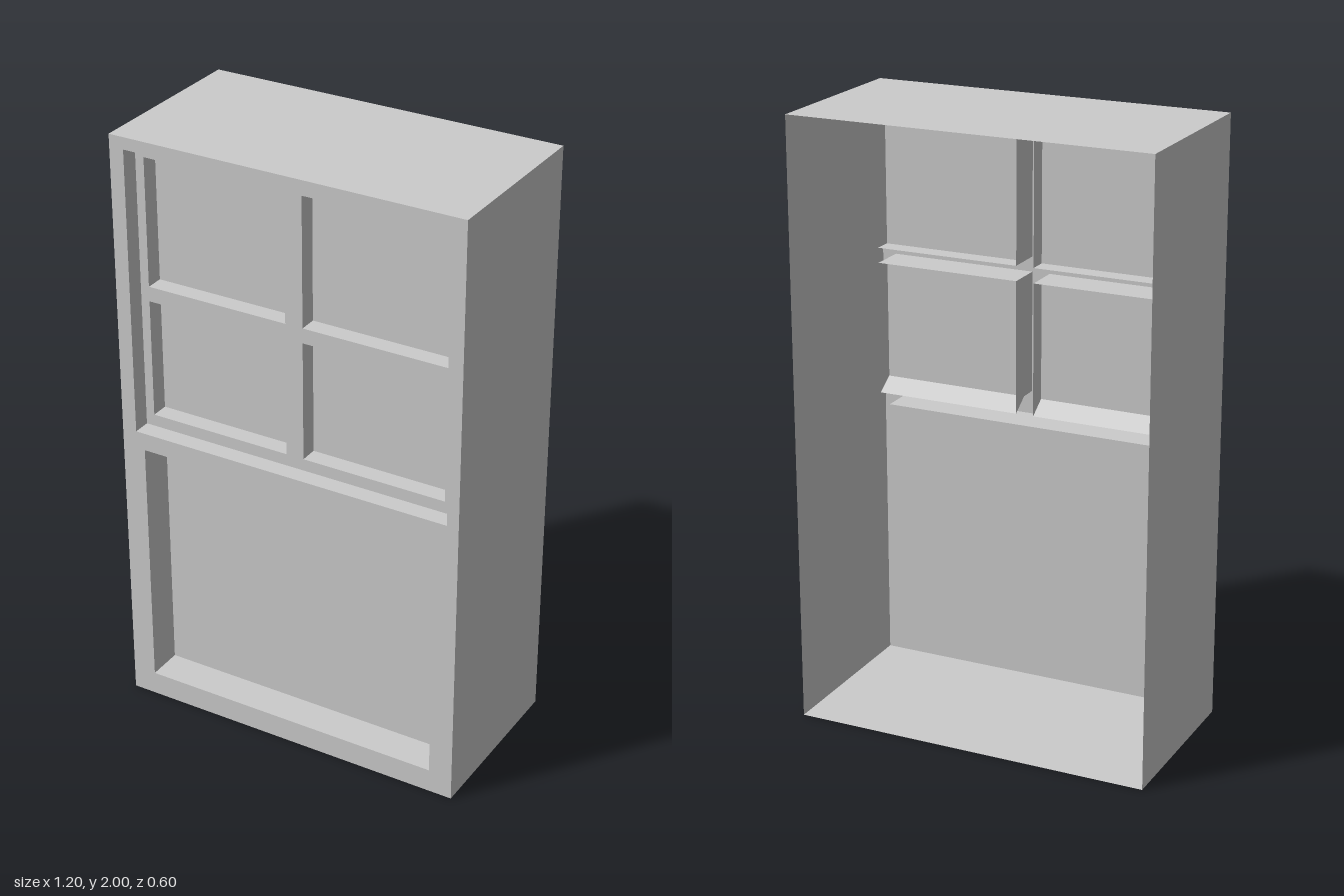
import * as THREE from 'three';

const material = new THREE.MeshStandardMaterial({ color: 0xcccccc, side: THREE.DoubleSide, flatShading: true });

// Rectangles are [x0, y0, x1, y1]
const corners = ([x0, y0, x1, y1]) => [[x0, y0], [x1, y0], [x1, y1], [x0, y1]];

export function createModel() {
  const group = new THREE.Group();

  const add = (name, geometry, z = 0) => {
    const mesh = new THREE.Mesh(geometry, material);
    mesh.name = name;
    mesh.position.z = z;
    group.add(mesh);
  };

  // Flat sheet facing +z with rectangular openings
  const sheet = (name, rect, z, holes = []) => {
    const points = (r) => corners(r).map(([x, y]) => new THREE.Vector2(x, y));
    const shape = new THREE.Shape(points(rect));
    for (const hole of holes) shape.holes.push(new THREE.Path(points(hole).reverse()));
    add(name, new THREE.ShapeGeometry(shape), z);
  };

  // Four thin walls joining a front rectangle to a back rectangle
  const sleeve = (name, front, zFront, back, zBack) => {
    const a = corners(front), b = corners(back), positions = [];
    for (let i = 0; i < 4; i++) {
      const j = (i + 1) % 4;
      const p = [...a[i], zFront], q = [...a[j], zFront], r = [...b[j], zBack], s = [...b[i], zBack];
      positions.push(...p, ...s, ...r, ...p, ...r, ...q);
    }
    const geometry = new THREE.BufferGeometry();
    geometry.setAttribute('position', new THREE.Float32BufferAttribute(positions, 3));
    geometry.computeVertexNormals();
    // Outer faces point outward
    add(name, geometry);
  };

  const outer = [-0.6, 0, 0.6, 2];
  const sash = [-0.55, 1.0, 0.56, 1.96];
  const lower = [-0.52, 0.08, 0.52, 0.94];

  // Open-backed case and front frame
  sleeve('caseWalls', outer, 0.3, outer, -0.3);
  sheet('frontFrame', outer, 0.3, [sash, lower]);

  // Large recessed lower panel
  sleeve('lowerPanelReveal', lower, 0.3, lower, 0.18);
  sheet('lowerPanel', lower, 0.18);

  // Upper sash with four panes
  const panes = [];
  for (const [x0, x1] of [[-0.52, -0.03], [0.03, 0.52]])
    for (const [y0, y1] of [[1.04, 1.44], [1.49, 1.92]]) panes.push([x0, y0, x1, y1]);
  sleeve('sashReveal', sash, 0.3, sash, 0.24);
  sheet('sash', sash, 0.24, panes);

  // Pane reveals run on behind the glass; the bottom sill drops toward the back
  for (const pane of panes) {
    const [x0, y0, x1, y1] = pane;
    const back = [x0, y0 < 1.2 ? 1.0 : y0, x1, y1];
    sleeve('paneReveal', pane, 0.24, pane, 0.18);
    sleeve('paneBackReveal', pane, 0.18, back, 0.12);
    sheet('pane', pane, 0.18);
  }
  return group;
}
